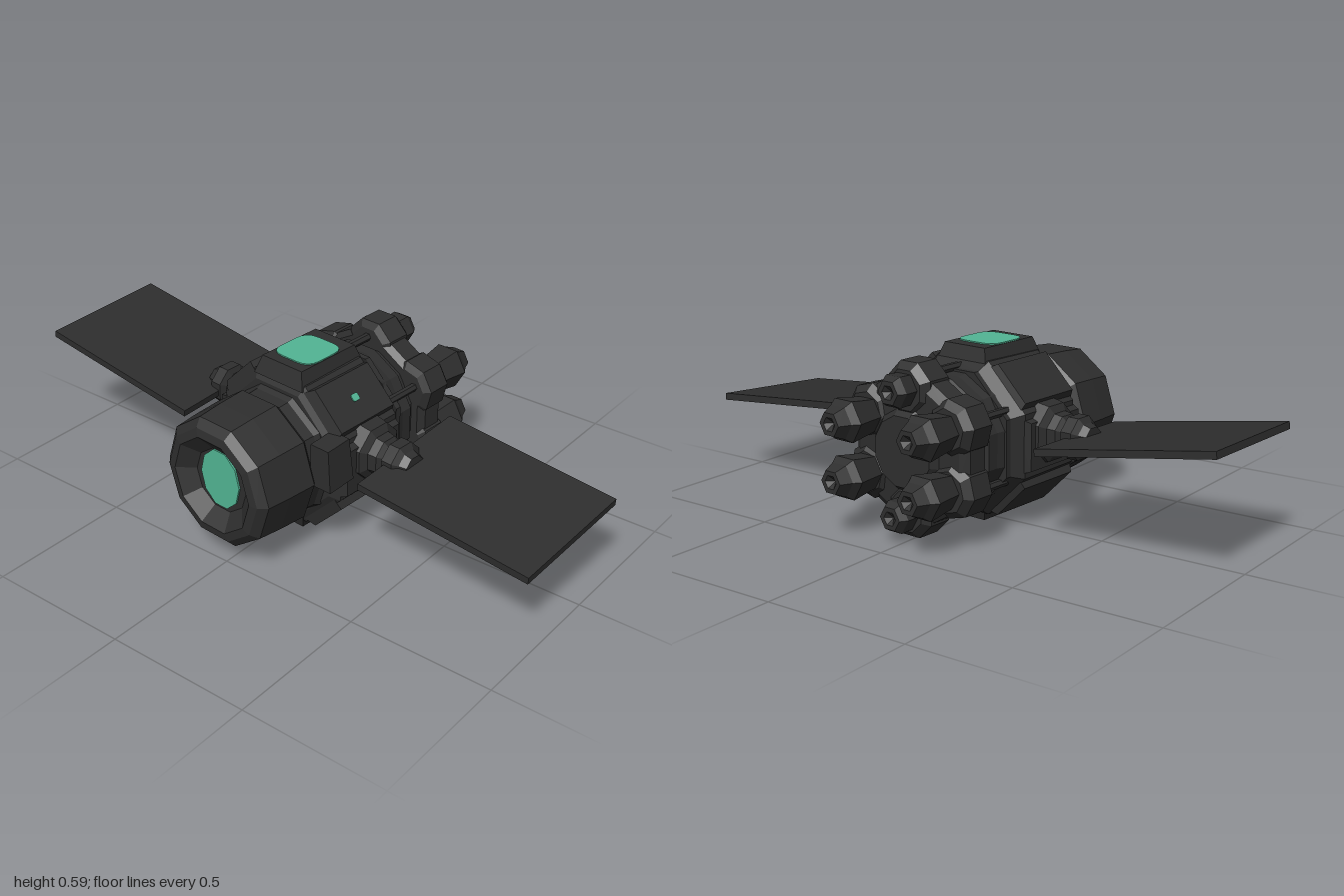
import * as THREE from 'three';

const dark = new THREE.MeshStandardMaterial({ color: 0x2e2e2e });
dark.name = 'charcoal';
const glass = new THREE.MeshStandardMaterial({ color: 0x52b594 });
glass.name = 'greenGlass';

// Faceted mesh
function part(name, geo, mat = dark) {
  const g = geo.index ? geo.toNonIndexed() : geo;
  g.computeVertexNormals();
  const m = new THREE.Mesh(g, mat);
  m.name = name;
  return m;
}

// Turned shape along +x from [x, radius] pairs, with a flat facing up
function turned(name, points, sides, mat) {
  const g = new THREE.LatheGeometry(points.map(([x, r]) => new THREE.Vector2(r, x)), sides, Math.PI / sides);
  g.rotateZ(-Math.PI / 2);
  g.rotateX(Math.PI / 2);
  return part(name, g, mat);
}

// Block whose top (+y) is smaller than its base
function taperBlock(name, w, h, d, taper) {
  const g = new THREE.BoxGeometry(w, h, d);
  const p = g.attributes.position;
  for (let i = 0; i < p.count; i++) {
    if (p.getY(i) > 0) {
      p.setX(i, p.getX(i) - Math.sign(p.getX(i)) * taper);
      p.setZ(i, p.getZ(i) - Math.sign(p.getZ(i)) * taper);
    }
  }
  return part(name, g);
}

// Thin window with rounded corners, facing +y
function windowPlate(name, w, d, r) {
  const s = new THREE.Shape();
  const x = w / 2, y = d / 2;
  s.moveTo(-x + r, -y);
  s.lineTo(x - r, -y).quadraticCurveTo(x, -y, x, -y + r);
  s.lineTo(x, y - r).quadraticCurveTo(x, y, x - r, y);
  s.lineTo(-x + r, y).quadraticCurveTo(-x, y, -x, y - r);
  s.lineTo(-x, -y + r).quadraticCurveTo(-x, -y, -x + r, -y);
  const g = new THREE.ExtrudeGeometry(s, { depth: 0.006, bevelEnabled: false, curveSegments: 4 });
  g.rotateX(-Math.PI / 2);
  return part(name, g, glass);
}

export function createModel() {
  const model = new THREE.Group();
  model.name = 'satellite';
  const body = new THREE.Group();
  body.name = 'body';
  body.position.y = 0.298;
  body.rotation.y = -0.07;
  model.add(body);

  // Viewing end with a recessed round window
  const rear = turned('viewingEnd', [
    [-0.475, 0], [-0.475, 0.11], [-0.52, 0.165], [-0.515, 0.195], [-0.49, 0.222],
    [-0.4, 0.23], [-0.3, 0.235], [-0.28, 0.215], [-0.24, 0.218], [-0.2, 0.235],
  ], 10);
  rear.position.y = -0.006;
  body.add(rear);
  const port = turned('endWindow', [[-0.481, 0], [-0.481, 0.105], [-0.475, 0.105]], 10, glass);
  port.scale.z = 0.8;
  body.add(port);

  // Main hull, collar, engine deck and hub
  body.add(turned('hull', [
    [-0.22, 0], [-0.22, 0.24], [-0.2, 0.275], [0.06, 0.28], [0.1, 0.25], [0.12, 0.25], [0.12, 0],
  ], 8));
  body.add(turned('collar', [
    [0.1, 0], [0.1, 0.235], [0.15, 0.225], [0.19, 0.225], [0.2, 0.205], [0.25, 0.2], [0.25, 0],
  ], 12));
  body.add(turned('engineDeck', [
    [0.22, 0], [0.22, 0.23], [0.24, 0.25], [0.31, 0.25], [0.33, 0.22], [0.335, 0.14], [0.36, 0.12], [0.36, 0],
  ], 12));

  // Hull plates, one on each side
  for (let i = 0; i < 8; i++) {
    const g = new THREE.Group();
    g.name = 'hullSide';
    g.rotation.x = (i * Math.PI) / 4;
    const square = i % 4 === 0;
    const plate = taperBlock('hullPlate', 0.29, 0.06, square ? 0.21 : 0.2, 0.02);
    plate.position.set(-0.07, square ? 0.265 : 0.25, 0);
    if (square) plate.position.y = i ? 0.255 : 0.268;
    g.add(plate);
    if (i === 0) {
      const top = windowPlate('topWindow', 0.17, 0.165, 0.05);
      top.position.set(-0.075, 0.296, 0);
      g.add(top);
    }
    if (i === 1) {
      const lamp = windowPlate('smallLamp', 0.03, 0.025, 0.008);
      lamp.position.set(-0.07, 0.278, 0);
      g.add(lamp);
    }
    body.add(g);
  }

  // Six thrusters with pods and struts around the engine deck
  for (let i = 0; i < 6; i++) {
    const g = new THREE.Group();
    g.name = 'thruster';
    g.rotation.x = (i * Math.PI) / 3;
    const long = i % 3 !== 0;
    const pod = turned('thrusterPod', [
      [0.22, 0], [0.22, 0.07], [0.235, 0.095], [0.32, 0.095], [0.345, 0.07], [0.345, 0],
    ], 8);
    pod.position.y = 0.2;
    const nozzle = turned('thrusterNozzle', long
      ? [[0.33, 0], [0.33, 0.06], [0.4, 0.07], [0.45, 0.078], [0.475, 0.06], [0.515, 0.042], [0.515, 0.025], [0.49, 0]]
      : [[0.33, 0], [0.33, 0.055], [0.395, 0.058], [0.42, 0.042], [0.42, 0.025], [0.4, 0]], 6);
    nozzle.position.y = long ? 0.19 : 0.205;
    const strut = turned('strut', [[0.06, 0], [0.06, 0.014], [0.25, 0.014], [0.25, 0]], 6);
    strut.position.y = 0.235;
    g.add(pod, nozzle, strut);
    body.add(g);
  }

  // Panel joints on both sides
  for (const s of [1, -1]) {
    const g = new THREE.Group();
    g.name = 'panelJoint';
    g.position.set(-0.06, 0.03, 0);
    g.rotation.x = (s * Math.PI) / 2;
    const steps = [
      [0.24, 0], [0.24, 0.11], [0.29, 0.1], [0.305, 0.075], [0.335, 0.07], [0.35, 0.05],
      [0.36, 0.075], [0.4, 0.075], [0.415, 0.055], [0.44, 0.045], [0.44, 0],
    ];
    const geo = new THREE.LatheGeometry(steps.map(([y, r]) => new THREE.Vector2(r, y)), 8, Math.PI / 8);
    g.add(part('jointHub', geo));
    body.add(g);
  }

  // Equipment box on the front side
  const box = taperBlock('equipmentBox', 0.11, 0.15, 0.085, 0.006);
  box.position.set(-0.235, 0.055, 0.245);
  box.rotation.z = 0.06;
  body.add(box);

  // Solar panels
  const panels = [
    ['frontPanel', [-0.055, 0.312, 0.677], [0.09, -0.035, 0.07]],
    ['backPanel', [-0.03, 0.373, -0.686], [0.16, -0.01, 0.03]],
  ];
  for (const [name, pos, rot] of panels) {
    const p = part(name, new THREE.BoxGeometry(0.475, 0.024, 0.63));
    p.position.set(...pos);
    p.rotation.set(...rot);
    model.add(p);
  }
  return model;
}
